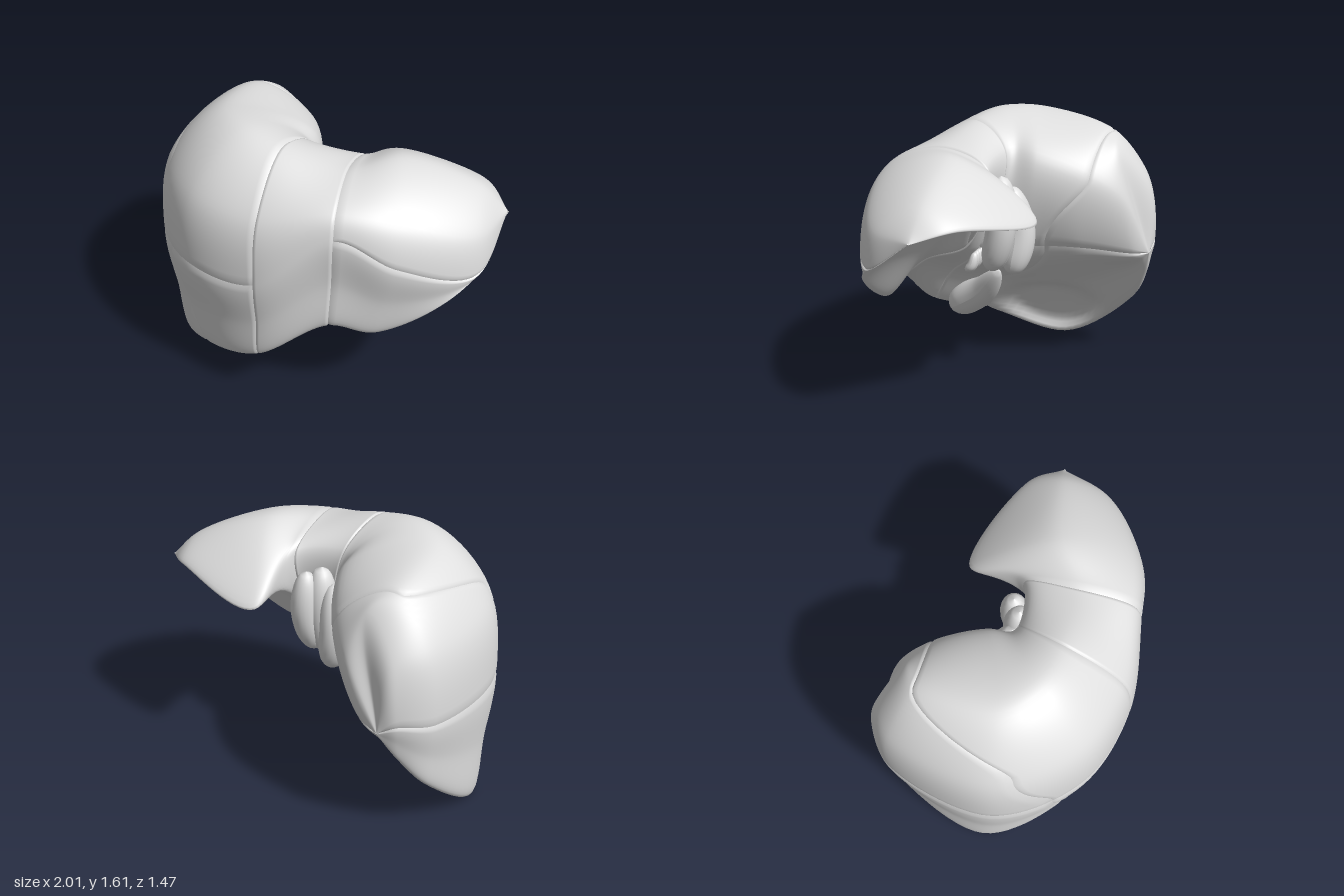
import * as THREE from 'three';

const tissue = new THREE.MeshStandardMaterial({ color: 0xdfdfdf });
tissue.name = 'grey tissue';

const V = (x, y, z) => new THREE.Vector3(x, y, z);

// Guide rails from the back of the right lobe, round the front, to the left tip (stations 0..9).
const LAST = 9;
const rail = (...stations) => [V(-0.47, 0.77, -0.72), ...stations, V(1, 1.2, 0.2)];
const lowerEdge = rail(
  V(-0.58, 0.6, -0.68), V(-0.72, 0.37, -0.56), V(-0.91, 0, -0.07), V(-0.67, 0.2, 0.4),
  V(-0.33, 0.36, 0.63), V(0.08, 0.66, 0.67), V(0.34, 0.62, 0.64), V(0.79, 0.92, 0.57));
const outerWall = rail(
  V(-0.58, 0.83, -0.73), V(-0.77, 0.81, -0.62), V(-1, 0.8, -0.02), V(-0.77, 0.87, 0.48),
  V(-0.33, 0.92, 0.71), V(0.11, 1.27, 0.71), V(0.45, 1.12, 0.71), V(0.86, 0.98, 0.52));
const crest = rail(
  V(-0.37, 1.4, -0.55), V(-0.5, 1.51, -0.45), V(-0.6, 1.59, -0.02), V(-0.45, 1.61, 0.2),
  V(-0.22, 1.57, 0.3), V(0.14, 1.49, 0.33), V(0.42, 1.51, 0.2), V(0.84, 1.36, 0.2));
const innerEdge = rail(
  V(-0.26, 1.15, -0.6), V(-0.16, 1.3, -0.4), V(-0.11, 1.4, -0.12), V(-0.12, 1.42, 0.01),
  V(-0.08, 1.42, 0.05), V(0.2, 1.38, 0.05), V(0.35, 1.17, -0.28), V(0.87, 1.25, 0));
const hilumLine = rail(
  V(-0.36, 0.79, -0.64), V(-0.22, 0.84, -0.38), V(-0.16, 0.84, -0.1), V(-0.1, 0.8, 0.15),
  V(-0.02, 0.85, 0.2), V(0.15, 0.92, 0.2), V(0.37, 1.23, 0.06), V(0.85, 1.21, 0.2));

// Rail between two others, bowed by using different fractions across and up.
const between = (a, b, across, up) => a.map((p, i) => {
  const q = p.clone().lerp(b[i], across);
  q.y = THREE.MathUtils.lerp(p.y, b[i].y, up);
  return q;
});
const flank = between(lowerEdge, outerWall, 0.58, 0.5);
const shoulder = between(outerWall, crest, 0.17, 0.6);
const underside = between(lowerEdge, hilumLine, 0.41, 0.49);

const RAILS = [lowerEdge, flank, outerWall, shoulder, crest, innerEdge, hilumLine, underside]
  .map(points => new THREE.CatmullRomCurve3(points));
const ROUND = RAILS.length;
const wrap = v => ((v % ROUND) + ROUND) % ROUND;
const { smoothstep, lerp, clamp } = THREE.MathUtils;

// Point on the liver: u = station, v = position round the section.
function surface(u, v) {
  const t = clamp(u / LAST, 0, 1), w = wrap(v);
  const section = new THREE.CatmullRomCurve3(RAILS.map(r => r.getPoint(t)), true);
  const p = section.getPoint(w / ROUND);
  // hollow on the underside of the right lobe
  const d = Math.hypot((p.z + 0.04) / 0.36, (p.y - 0.24) / 0.24);
  p.x -= 0.08 * smoothstep(w, 6, 6.6) * (1 - smoothstep(w, 7.5, 8)) * (1 - smoothstep(d, 0.65, 1.02));
  return p;
}

// Oblique border between the front and back of the right lobe, one station per rail.
const BORDER = [4, 3.8, 3.65, 3.25, 1.9, 1.9, 2.8, 3.8];
function border(v) {
  const w = wrap(v), i = Math.floor(w);
  return lerp(BORDER[i], BORDER[(i + 1) % ROUND], smoothstep(w - i, 0, 1));
}
const station = u => () => u;

function named(name, geometry) {
  geometry.computeVertexNormals();
  const mesh = new THREE.Mesh(geometry, tissue);
  mesh.name = name;
  return mesh;
}

// One segment, with its margins sunk slightly to form the grooves.
function segment(name, from, to, v0, v1) {
  const nu = 40, nv = (v1 - v0) * 12, e = 0.02, pos = [], idx = [];
  for (let j = 0; j <= nv; j++) {
    const v = v0 + (v1 - v0) * j / nv;
    for (let i = 0; i <= nu; i++) {
      const u = lerp(from(v), to(v), i / nu);
      const p = surface(u, v);
      const sideMargin = (i === 0 || i === nu) && u > 0 && u < LAST;
      const endMargin = (j === 0 || j === nv) && v1 - v0 < ROUND;
      if (sideMargin || endMargin) {
        const du = surface(u + e, v).sub(surface(u - e, v));
        const dv = surface(u, v + e).sub(surface(u, v - e));
        p.addScaledVector(du.cross(dv).normalize(), -0.008);
      }
      pos.push(p.x, p.y, p.z);
      if (i < nu && j < nv) {
        const k = j * (nu + 1) + i, n = k + nu + 1;
        idx.push(k, k + 1, n + 1, k, n + 1, n);
      }
    }
  }
  const g = new THREE.BufferGeometry();
  g.setAttribute('position', new THREE.Float32BufferAttribute(pos, 3));
  g.setIndex(idx);
  return named(name, g);
}

// Rounded body along a path; the radius runs from r0 to r1 and closes at both ends.
function pod(name, points, r0, r1) {
  const curve = new THREE.CatmullRomCurve3(points);
  const n = 32, sides = 20, g = new THREE.TubeGeometry(curve, n, 1, sides);
  const pos = g.attributes.position, p = V(0, 0, 0);
  for (let i = 0; i <= n; i++) {
    const t = i / n, c = curve.getPointAt(t);
    const r = lerp(r0, r1, t) * Math.sqrt(1 - Math.abs(2 * t - 1) ** 3);
    for (let k = 0; k <= sides; k++) {
      const id = i * (sides + 1) + k;
      p.fromBufferAttribute(pos, id).sub(c).multiplyScalar(r).add(c);
      pos.setXYZ(id, p.x, p.y, p.z);
    }
  }
  return named(name, g);
}

export function createModel() {
  const liver = new THREE.Group();
  liver.name = 'liver';
  const back = station(0), middle = station(5), left = station(6), tip = station(LAST);
  liver.add(
    segment('rightBackUpperSegment', back, border, 2, 6),
    segment('rightBackLowerSegment', back, border, 6, 10),
    segment('rightFrontUpperSegment', border, middle, 2, 6),
    segment('rightFrontLowerSegment', border, middle, 6, 10),
    segment('middleSegment', middle, left, 0, 8),
    segment('leftUpperSegment', left, tip, 2, 6),
    segment('leftLowerSegment', left, tip, 6, 10),
  );

  // gallbladder under the front of the right lobe
  liver.add(pod('gallbladder',
    [V(-0.39, 0.29, 0.53), V(-0.38, 0.36, 0.43), V(-0.3, 0.47, 0.28), V(-0.16, 0.66, 0.13)], 0.13, 0.05));

  // caudate lobe: two ridges joined by a body behind the middle segment
  liver.add(
    pod('caudateLeftRidge', [V(0.12, 1.3, 0), V(0.13, 1.03, 0.01), V(0.09, 0.76, 0.09)], 0.08, 0.09),
    pod('caudateBody', [V(0.04, 1.32, 0.04), V(0.04, 1.03, 0.04), V(0.03, 0.74, 0.09)], 0.09, 0.09),
    pod('caudateRightRidge', [V(-0.04, 1.24, 0.01), V(-0.06, 0.96, -0.04), V(-0.03, 0.7, 0)], 0.08, 0.1),
  );

  // short vessels at the hilum
  for (let i = 0; i < 4; i++) {
    const x = -0.06 + i * 0.035;
    liver.add(pod('hilumVessel',
      [V(x, 0.84, 0.2), V(x + 0.01, 0.76, 0.22), V(x, 0.7 + 0.02 * (i % 2), 0.26)], 0.025, 0.03));
  }
  return liver;
}
